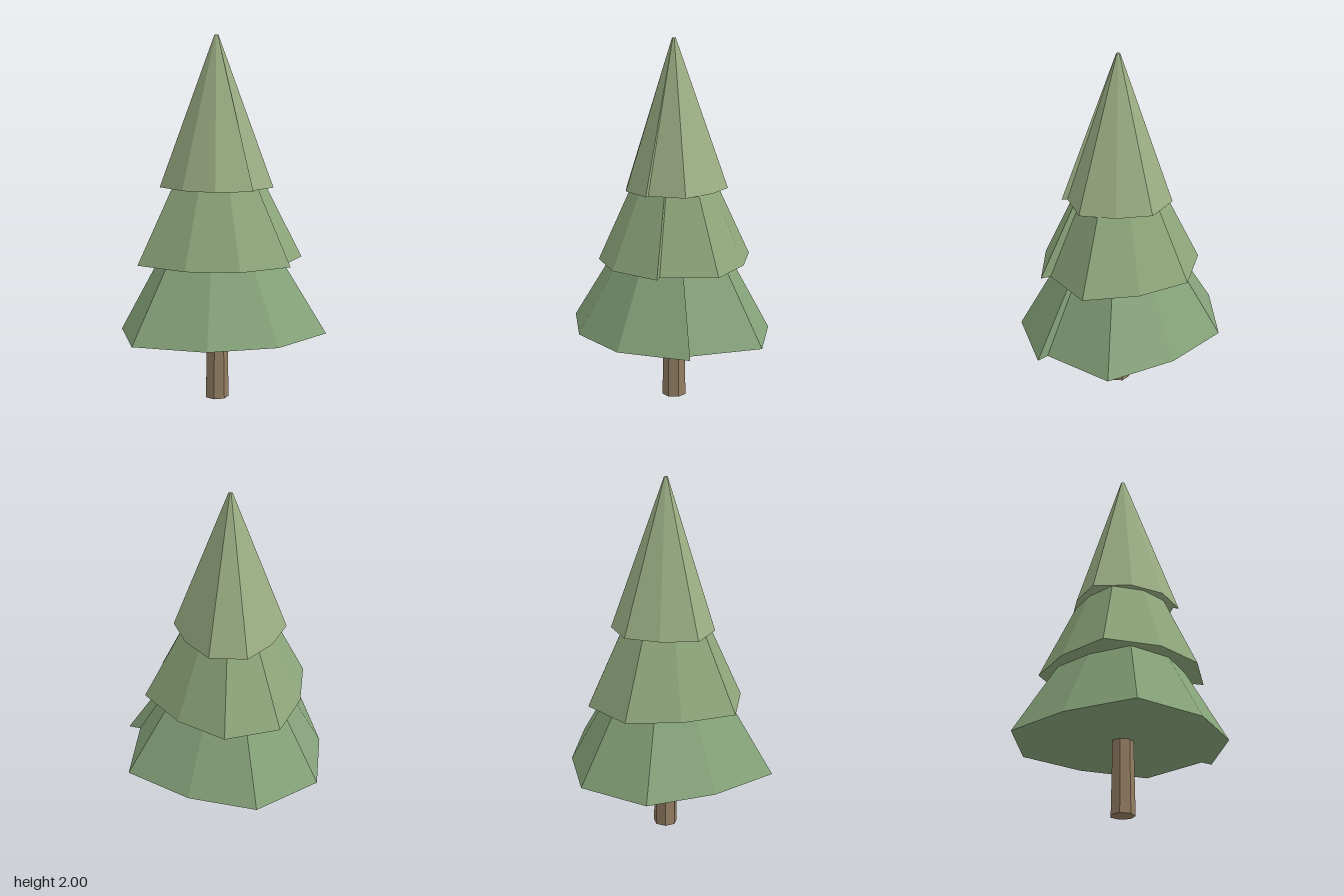
import * as THREE from 'three';

const AXIS_X = -0.037, AXIS_Z = 0.012;

// Each rim runs once around the trunk; its first and last corners share a
// direction but not a radius, which leaves the stepped seam in the foliage.
const TIERS = [
  { name: 'lowerFoliage', color: 0x86a37a, y: 0.4, top: 0.86, cone: 0.97,
    rim: [[0.555, 0.175], [0.28, 0.47], [-0.09, 0.555], [-0.48, 0.445], [-0.56, 0.05],
      [-0.52, -0.335], [-0.18, -0.56], [0.19, -0.465], [0.53, -0.25], [0.49, 0.155]] },
  { name: 'middleFoliage', color: 0x8fa87c, y: 0.785, top: 1.26, cone: 0.93,
    rim: [[0.352, 0.274], [0.082, 0.418], [-0.205, 0.394], [-0.46, 0.217], [-0.427, -0.085],
      [-0.304, -0.355], [-0.007, -0.438], [0.244, -0.28], [0.435, -0.04], [0.307, 0.24]] },
  { name: 'topFoliage', color: 0x9daf85, y: 1.185, top: 2, cone: 0.845,
    rim: [[0.155, 0.255], [-0.046, 0.29], [-0.22, 0.217], [-0.345, 0.052], [-0.26, -0.133],
      [-0.127, -0.274], [0.076, -0.262], [0.2, -0.11], [0.27, 0.076], [0.133, 0.232]] },
];

function material(color) {
  return new THREE.MeshStandardMaterial({ color, flatShading: true, side: THREE.DoubleSide });
}

// Closed frustum from an irregular rim, narrowing towards the tree axis
function foliage({ y, top, cone, rim }) {
  const scale = 1 - (top - y) / cone;
  const low = rim.map(([x, z]) => [x, y, z]);
  const high = rim.map(([x, z]) => [
    AXIS_X + (x - AXIS_X) * scale, top, AXIS_Z + (z - AXIS_Z) * scale]);
  const lowMid = [AXIS_X, y, AXIS_Z], highMid = [AXIS_X, top, AXIS_Z];
  const corners = [];
  for (let i = 0; i < rim.length; i++) {
    const j = (i + 1) % rim.length;
    corners.push(low[i], high[i], low[j], high[i], high[j], low[j]); // side
    corners.push(lowMid, low[i], low[j]);                            // underside
    corners.push(highMid, high[j], high[i]);                         // tip
  }
  const geometry = new THREE.BufferGeometry();
  geometry.setAttribute('position', new THREE.Float32BufferAttribute(corners.flat(), 3));
  geometry.computeVertexNormals();
  return geometry;
}

export function createModel() {
  const tree = new THREE.Group();
  tree.name = 'pineTree';

  // Seven-sided, slightly tapered trunk
  const trunk = new THREE.Mesh(
    new THREE.CylinderGeometry(0.058, 0.067, 0.45, 7, 1, false, Math.PI / 2),
    material(0x937d62));
  trunk.name = 'trunk';
  trunk.position.set(AXIS_X, 0.225, AXIS_Z);
  tree.add(trunk);

  // Three stacked foliage tiers
  for (const tier of TIERS) {
    const mesh = new THREE.Mesh(foliage(tier), material(tier.color));
    mesh.name = tier.name;
    tree.add(mesh);
  }
  return tree;
}
